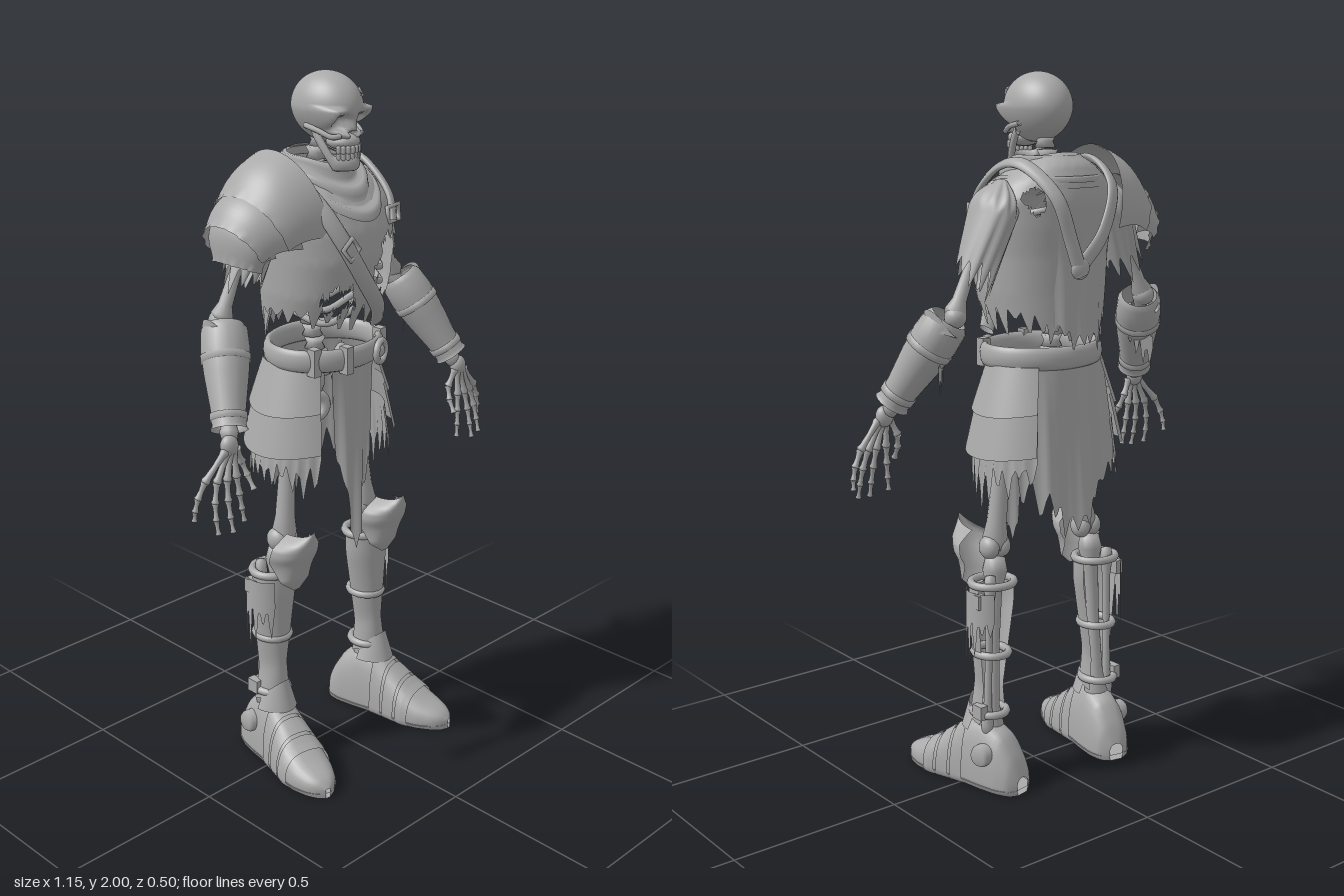
import * as THREE from 'three';
import { mergeVertices } from 'three/addons/utils/BufferGeometryUtils.js';

const V = (x, y, z) => new THREE.Vector3(x, y, z);
const { lerp, clamp } = THREE.MathUtils, { PI, sin, cos, abs, min, max, sign } = Math;
const hash = (n) => { const s = sin(n * 127.1 + 3.7) * 43758.5453; return s - Math.floor(s); };
// ragged hem: row of irregular triangular spikes along u
const jag = (u, n, seed = 0) => (0.25 + 0.75 * hash(Math.floor(u * n) + seed)) * (1 - abs(2 * (u * n - Math.floor(u * n)) - 1));
// interpolate rows of numbers keyed by their first entry
const rowAt = (rows, k) => {
  let i = 0;
  while (i < rows.length - 2 && k > rows[i + 1][0]) i++;
  const a = rows[i], b = rows[i + 1], t = clamp((k - a[0]) / (b[0] - a[0]), 0, 1);
  return a.map((n, j) => lerp(n, b[j], t));
};
// torso sections: height, half width, front z, back z
const TORSO = [[1.26, 0.15, 0.08, -0.19], [1.33, 0.17, 0.1, -0.19], [1.42, 0.185, 0.13, -0.19], [1.52, 0.19, 0.143, -0.195],
  [1.6, 0.195, 0.135, -0.205], [1.67, 0.195, 0.11, -0.21], [1.72, 0.165, 0.075, -0.2], [1.76, 0.12, 0.04, -0.18], [1.79, 0.075, 0.01, -0.14]];
// z of the torso surface at x, y on the front (+1) or back (-1)
const torsoZ = (x, y, side) => {
  const [, w, f, b] = rowAt(TORSO, y);
  return (f + b) / 2 + side * (f - b) / 2 * Math.sqrt(max(0, 1 - (x / w) ** 2));
};
// knee guard: fraction, half width, z; shin: height, half width, half depth; boot: z, half width, height
const KNEE = [[0, 0.012, 0.04], [0.18, 0.052, 0.06], [0.4, 0.06, 0.078], [0.65, 0.075, 0.098], [0.82, 0.07, 0.106], [0.92, 0.045, 0.11], [1, 0.02, 0.112]];
const SHIN = [[0.2, 0.05, 0.055], [0.3, 0.037, 0.05], [0.42, 0.052, 0.056], [0.54, 0.068, 0.06], [0.61, 0.066, 0.058]];
const BOOT = [[-0.175, 0.022, 0.05], [-0.16, 0.05, 0.1], [-0.12, 0.062, 0.165], [-0.06, 0.064, 0.2], [-0.005, 0.062, 0.19], [0.06, 0.068, 0.145],
  [0.12, 0.075, 0.105], [0.17, 0.068, 0.078], [0.21, 0.052, 0.062], [0.235, 0.034, 0.05], [0.25, 0.008, 0.03]];

export function createModel() {
  const root = new THREE.Group();
  const grey = new THREE.MeshStandardMaterial({ color: 0xaaaaaa, side: THREE.DoubleSide });
  grey.name = 'weathered grey';
  const add = (name, geo, p = V(0, 0, 0)) => {
    const m = new THREE.Mesh(geo, grey);
    m.name = name;
    m.position.copy(p);
    root.add(m);
    return m;
  };
  // surface from a rule, with optional torn holes
  const sheet = (name, nu, nv, fn, torn = () => false) => {
    const pos = [], idx = [];
    for (let j = 0; j <= nv; j++) for (let i = 0; i <= nu; i++) pos.push(...fn(i / nu, j / nv));
    for (let j = 0; j < nv; j++) for (let i = 0; i < nu; i++) {
      const a = j * (nu + 1) + i, b = a + nu + 1;
      if (!torn(pos[a * 3], pos[a * 3 + 1], pos[a * 3 + 2])) idx.push(a, b, a + 1, b, b + 1, a + 1);
    }
    let g = new THREE.BufferGeometry();
    g.setAttribute('position', new THREE.Float32BufferAttribute(pos, 3));
    g.setIndex(idx);
    g = mergeVertices(g, 1e-5);
    g.computeVertexNormals();
    return add(name, g);
  };
  // turned shape from a to b; profile rows are [radius, fraction]
  const limb = (name, a, b, prof, seg = 14) => {
    const L = a.distanceTo(b), m = add(name, new THREE.LatheGeometry(prof.map(([r, t]) => new THREE.Vector2(r, t * L)), seg), a);
    m.quaternion.setFromUnitVectors(V(0, 1, 0), b.clone().sub(a).normalize());
  };
  const bone = (name, a, b, r, k = 1.7) => limb(name, a, b, [[0, -0.03], [r * k * 0.8, -0.02], [r * k, 0.05], [r * 1.1, 0.16],
    [r * 0.9, 0.5], [r * 1.1, 0.84], [r * k, 0.95], [r * k * 0.8, 1.02], [0, 1.03]]);
  const ball = (name, p, x, y = x, z = x) => { const m = add(name, new THREE.SphereGeometry(1, 20, 14), p); m.scale.set(x, y, z); return m; };
  const tube = (name, pts, r, closed = false, n = 40) => add(name, new THREE.TubeGeometry(new THREE.CatmullRomCurve3(pts, closed), n, r, 8, closed));
  // flat belt along a path, lying against the body axis
  const strap = (name, pts, w, h, closed = false) => {
    const c = new THREE.CatmullRomCurve3(pts, closed), mid = V(0, 1.55, -0.05);
    sheet(name, 70, 12, (u, v) => {
      const p = c.getPoint(u), t = c.getTangent(u), n = p.clone().sub(mid), a = v * 2 * PI;
      if (closed) n.y = 0;
      n.addScaledVector(t, -n.dot(t)).normalize();
      return p.addScaledVector(t.cross(n), w * cos(a)).addScaledVector(n, h * sin(a)).toArray();
    });
  };
  const ring = (rx, rz, y, zc, x = 0) => Array.from({ length: 16 }, (_, i) => V(x + rx * sin(i * PI / 8), y, zc + rz * cos(i * PI / 8)));

  // skull: sphere with narrowed face, eye sockets and nose pressed in
  const sk = new THREE.SphereGeometry(1, 64, 48), sp = sk.attributes.position;
  for (let i = 0; i < sp.count; i++) {
    let x = sp.getX(i) * 0.083, y = sp.getY(i) * 0.094, z = sp.getZ(i) * 0.11;
    const dent = (cx, cy, r) => Math.exp(-(((abs(x) - cx) / r) ** 4 + ((y - cy) / r) ** 4));
    if (y < 0) x *= 1 + 0.2 * y / 0.094;
    if (z > 0) {
      if (y < 0.01) z = max(z, min(z * 1.5, 0.105));
      z -= 0.045 * dent(0.036, -0.034, 0.022) + 0.03 * dent(0, -0.066, 0.012);
    }
    sp.setXYZ(i, x, y, z);
  }
  sk.computeVertexNormals();
  add('skull', sk, V(0, 1.906, -0.02));
  ball('upper jaw', V(0, 1.823, 0.04), 0.046, 0.024, 0.046);
  // jaw: horseshoe plate rising to the hinges
  sheet('lower jaw', 32, 12, (u, v) => {
    const t = abs(u - 0.5) * 2, a = (u - 0.5) * PI, q = v * 2 * PI, k = 1 + 0.16 * cos(q);
    return [0.05 * k * sin(a) * (1 + 0.2 * t), 1.768 + 0.02 * sin(q) + 0.085 * max(0, t - 0.55) / 0.45, 0.012 + 0.068 * k * cos(a) - 0.02 * t];
  });
  for (let i = 0; i < 8; i++) for (const [y, r] of [[1.805, 0.042], [1.787, 0.04]])
    add('tooth', new THREE.CapsuleGeometry(0.0068, 0.01, 3, 8), V(r * sin((i - 3.5) * 0.31), y, 0.04 + r * cos((i - 3.5) * 0.31)));
  for (const s of [-1, 1])
    tube('cheekbone', [V(s * 0.035, 1.842, 0.066), V(s * 0.055, 1.84, 0.053), V(s * 0.07, 1.855, 0.015), V(s * 0.073, 1.864, -0.03)], 0.0075);
  tube('skull crack', [V(0.03, 1.945, 0.072), V(0.045, 1.94, 0.066), V(0.04, 1.955, 0.06), V(0.06, 1.95, 0.045)], 0.004);

  // spine and rib cage
  for (let i = 0; i < 19; i++) {
    const y = 1.15 + i * 0.036, z = -0.05 - 0.06 * sin((i / 18) * PI);
    limb('vertebra', V(0, y, z), V(0, y + 0.034, z), [[0, 0], [0.03, 0.05], [0.022, 0.5], [0.03, 0.95], [0, 1]], 12);
  }
  for (let i = 0; i < 7; i++) for (const s of [-1, 1]) {
    const y = 1.36 + i * 0.04, w = 0.155 - 0.003 * abs(i - 3) ** 2;
    tube('rib', [V(0, y + 0.04, -0.11), V(s * w * 0.7, y + 0.04, -0.15), V(s * w, y + 0.015, -0.04), V(s * w * 0.75, y - 0.015, 0.07),
      V(s * 0.02, y + 0.02, 0.105 - 0.004 * i)], 0.0095, false, 24);
  }
  ball('breastbone', V(0, 1.5, 0.1), 0.025, 0.13, 0.012);

  // torn tunic, back cape and draped cowl
  sheet('tunic', 130, 44, (u, v) => {
    const a = (u - 0.5) * 2 * PI, back = (1 - cos(a)) / 2, e = (n) => sign(n) * abs(n) ** 0.9;
    const y = lerp(1.79, lerp(1.39, 1.38, back) - 0.09 * jag(u, 26) - 0.03 * back ** 4, v), [, w, f, b] = rowAt(TORSO, y);
    return [w * e(sin(a)), y - 0.035 * (1 - back) * (1 - v) ** 3, (f + b) / 2 + (f - b) / 2 * e(cos(a))];
  }, (x, y, z) => {
    const n = 1 + 0.25 * sin(y * 90) + 0.2 * sin(x * 110), hole = (cx, cy, rx, ry) => ((x - cx) / rx) ** 2 + ((y - cy) / ry) ** 2 < n;
    return z > 0 ? hole(0.085, 1.46, 0.06, 0.11) || hole(-0.09, 1.42, 0.045, 0.035) : z < -0.1 && hole(0.13, 1.67, 0.03, 0.03);
  });
  sheet('back cape', 50, 20, (u, v) => {
    const x = lerp(-0.18, 0.11, u), y = lerp(1.7, 1.37 - 0.07 * sin(u * PI) - 0.11 * jag(u, 8, 2), v);
    return [x * (1 - 0.12 * v), y, torsoZ(x, max(y, 1.5), -1) - 0.005 + 0.004 * sin(x * 90) * v];
  });
  sheet('cowl', 60, 12, (u, v) => {
    const a = u * 2 * PI, f = max(0, cos(a)), fold = 0.006 * sin(v * 16);
    return [(lerp(0.078, 0.15, v) + fold) * sin(a), lerp(1.782, 1.715, v) + fold - f * f * lerp(0.02, 0.09, v), -0.055 + (lerp(0.088, 0.155, v) + 0.045 * f * v + fold) * cos(a)];
  });

  // shoulder belts and buckles
  const on = (x, y, s, o = 0.012) => V(x, y, torsoZ(x, y, s) + s * o);
  strap('chest belt', [V(0.02, 1.5, -0.235), V(-0.06, 1.58, -0.225), V(-0.12, 1.7, -0.19), V(-0.145, 1.765, -0.06), on(-0.13, 1.68, 1), on(-0.09, 1.58, 1),
    on(-0.02, 1.46, 1), on(0.05, 1.38, 1), on(0.13, 1.3, 1)], 0.023, 0.01);
  strap('shoulder belt', [on(0.115, 1.6, 1, 0.016), on(0.13, 1.67, 1, 0.016), V(0.135, 1.755, -0.03), V(0.13, 1.76, -0.12), V(0.1, 1.68, -0.22),
    V(0.06, 1.56, -0.235), V(0.03, 1.47, -0.24)], 0.02, 0.01);
  ball('back knob', V(0.03, 1.49, -0.235), 0.03, 0.03, 0.016);
  for (const [x, y, r] of [[-0.075, 1.56, 0.7], [0.12, 1.62, 0.1]])
    add('strap buckle', new THREE.TorusGeometry(0.03, 0.007, 8, 4), on(x, y, 1, 0.02)).rotation.z = r + PI / 4;

  // layered shoulder plates on the right: rows are x, top y, half depth, drop
  [[[-0.155, 1.805, 0.172, 0.2], [-0.285, 1.7, 0.14, 0.12]], [[-0.24, 1.72, 0.148, 0.14], [-0.345, 1.63, 0.105, 0.08]],
    [[-0.31, 1.65, 0.12, 0.09], [-0.33, 1.53, 0.085, 0.02]]].forEach(([p, q], k) => sheet('shoulder plate', 40, 10, (u, v) => {
    const a = (u - 0.5) * 3.3, c = 1 - cos(a), r = p.map((n, i) => lerp(n, q[i], v)), bulge = 0.012 * sin(v * PI);
    return [r[0] + c * 0.05 - bulge - (v > 0.95 ? 0.012 * jag(u, 9, k) : 0), r[1] + bulge - r[3] * c, -0.068 + r[2] * sin(a)];
  }));

  for (const s of [-1, 1]) {
    const P = (x, y, z) => V(s * x, y, z);
    // torn sleeve
    sheet('sleeve', 60, 26, (u, v) => {
      const a = u * 2 * PI, t = v * (0.85 + 0.4 * jag(u, 11, s * 5)), r = sin(min(1, v * 2.5 + 0.1) * PI / 2), k = 0.055 * r * cos(a);
      return [s * (0.165 + 0.1 * t + 0.93 * k), 1.72 - 0.25 * t + 0.37 * k, -0.075 + lerp(0.1, 0.055, v) * r * sin(a)];
    }, (x, y, z) => s > 0 && z > -0.06 && ((x - 0.215) / 0.03) ** 2 + ((y - 1.6) / 0.055) ** 2 < 1);
    // arm
    bone('collarbone', P(0.02, 1.7, 0.02), P(0.19, 1.7, -0.06), 0.011);
    ball('shoulder joint', P(0.215, 1.63, -0.08), 0.036);
    bone('upper arm', P(0.225, 1.62, -0.08), P(0.335, 1.375, -0.085), 0.018);
    ball('elbow', P(0.335, 1.372, -0.09), 0.03);
    bone('forearm bone', P(0.325, 1.38, -0.09), P(0.445, 1.11, 0.065), 0.015);
    const armAt = (t) => P(lerp(0.345, 0.44, t), lerp(1.355, 1.13, t), lerp(-0.06, 0.06, t));
    limb('bracer', armAt(0), armAt(1), [[0.05, -0.06], [0.062, 0], [0.066, 0.2], [0.06, 0.45], [0.047, 0.8], [0.045, 0.96], [0.05, 1]], 24);
    for (const [t, r] of [[0.26, 0.067], [0.84, 0.05]]) limb('bracer strap', armAt(t), armAt(t + 0.07), [[r - 0.01, 0], [r, 0], [r, 1], [r - 0.01, 1]], 24);
    sheet('elbow guard', 20, 6, (u, v) => {
      const a = (u - 0.5) * 3, r = lerp(0.066, 0.052, v);
      return [s * (0.345 + r * cos(a) * 0.9 + 0.01 * v), 1.32 + (v * 0.06 + 0.3 * r) * cos(a), -0.06 + r * sin(a)];
    });
    sheet('bracer rag', 14, 5, (u, v) => [s * (0.325 + 0.06 * u), 1.29 - 0.05 * u - v * (0.03 + 0.09 * jag(u, 4)), -0.03 - 0.05 * u]);
    // hand: fingertips outwards, thumb last
    ball('wrist', P(0.455, 1.095, 0.075), 0.026, 0.03, 0.022);
    [[0.43, 0.88, 0.1], [0.482, 0.868, 0.115], [0.525, 0.872, 0.105], [0.568, 0.91, 0.06], [0.402, 0.965, 0.11]].forEach(([x, y, z], i) => {
      const thumb = i === 4, cuts = thumb ? [0, 0.45, 0.75, 1] : [0, 0.42, 0.66, 0.85, 1];
      const c = new THREE.QuadraticBezierCurve3(P(0.455 + (thumb ? -0.02 : (i - 1) * 0.009), 1.085, 0.08),
        P(thumb ? 0.405 : 0.445 + i * 0.042, thumb ? 1.04 : 1.0, 0.09 - i * 0.008), P(x, y, z));
      for (let k = 1; k < cuts.length; k++) bone('finger bone', c.getPoint(cuts[k - 1]), c.getPoint(cuts[k]), 0.0098 - k * 0.001, 1.45);
    });
    // pelvis and thigh
    ball('hip bone', P(0.085, 1.15, -0.05), 0.075, 0.07, 0.03).rotation.y = s * 0.7;
    add('pelvis ring', new THREE.TorusGeometry(0.036, 0.015, 8, 20), P(0.055, 1.075, -0.02)).rotation.y = s * 0.5;
    ball('thigh joint', P(0.1, 1.115, -0.04), 0.036);
    bone('thigh bone', P(0.125, 1.12, -0.04), P(0.165, 0.7, -0.03), 0.026, 1.4);
    for (const d of [-1, 1]) ball('knee joint', P(0.168 + d * 0.02, 0.7, -0.035), 0.026, 0.034, 0.034);
    // hip plates with rags beneath
    for (const [name, y0, y1, r0, r1, rag] of [['hip plate', 1.22, 1.095, 0.175, 0.22, 0], ['hip plate', 1.12, 0.98, 0.205, 0.24, 0], ['hip rag', 1.05, 0.96, 0.205, 0.222, 0.15]])
      sheet(name, 36, 6, (u, v) => {
        const a = lerp(-0.9, 0.92, u), r = lerp(r0, r1, v);
        return [s * r * cos(a), lerp(y0, y1, v) - v * rag * jag(u, 11, s * 7) - 0.012 * v * cos(a * 2), -0.05 + r * 0.8 * sin(a)];
      });
    // knee guard
    sheet('knee guard', 24, 16, (u, v) => {
      const [, w, z] = rowAt(KNEE, v), a = (u - 0.5) * PI;
      return [s * (0.183 + w * sin(a)), 0.565 + 0.205 * v - 0.03 * v * abs(sin(a)), z - 0.09 * (1 - cos(a)) * min(1, v * 2)];
    });
    // shin bones, greave and bindings
    bone('shin bone', P(0.175, 0.66, -0.045), P(0.2, 0.16, -0.055), 0.02, 1.8);
    bone('outer shin bone', P(0.215, 0.62, -0.075), P(0.225, 0.17, -0.07), 0.011);
    sheet('greave', 28, 18, (u, v) => {
      const a = (u - 0.5) * 3.9, top = 0.585 + 0.06 * abs(u - 0.5), [, w, d] = rowAt(SHIN, lerp(0.2, top, v));
      return [s * (lerp(0.205, 0.19, v) + w * sin(a)), lerp(0.2 + 0.02 * cos(a), top, v), -0.05 + d * cos(a)];
    });
    for (const [y, w, d, x] of [[0.605, 0.062, 0.057, 0.19], [0.4, 0.046, 0.052, 0.196], [0.225, 0.046, 0.052, 0.204]])
      tube('shin strap', ring(w, d, y, -0.052, s * x), 0.012, true);
    for (const [x, y] of [[0.255, 0.565], [0.25, 0.235]]) add('strap buckle', new THREE.BoxGeometry(0.025, 0.04, 0.04), P(x, y, -0.07));
    sheet('trouser rag', 26, 6, (u, v) => {
      const a = lerp(0.6, 2.6, u);
      return [s * (0.195 + 0.073 * sin(a)), 0.59 - v * (0.08 + 0.19 * jag(u, 6, s)), -0.055 + 0.073 * cos(a)];
    });
    // boot with sole, overlapping bands, ankle disc and ankle guard
    const boot = (name, z0, z1, k, top) => {
      const m = sheet(name, 28, 34, (u, v) => {
        const z = lerp(z0, z1, v), [, w, h] = rowAt(BOOT, z), c = cos(u * 2 * PI), q = sin(u * 2 * PI);
        return [k * w * sign(c) * abs(c) ** 0.75, min(top, q > 0 ? 0.025 + (k * h - 0.025) * q ** 0.9 : 0.025 * (1 - min(1, -q * 2))), z];
      });
      m.position.x = s * 0.213;
      m.rotation.y = s * 0.2;
    };
    boot('boot', -0.175, 0.25, 1, 1);
    boot('boot sole', -0.175, 0.25, 1.04, 0.016);
    for (const z of [0.0, 0.05, 0.1]) boot('boot band', z, z + 0.042, 1.07, 1);
    limb('ankle disc', P(0.245, 0.11, -0.085), P(0.278, 0.11, -0.09), [[0.032, 0], [0.032, 0.7], [0.025, 1], [0, 1]], 20);
    sheet('ankle guard', 20, 5, (u, v) => {
      const a = (u - 0.5) * 3, r = lerp(0.075, 0.052, v);
      return [s * (0.208 + r * 0.85 * sin(a)), 0.175 + 0.09 * v * (0.4 + 0.6 * cos(a)), -0.045 + r * 1.1 * cos(a)];
    });
  }
  // waist belt with round buckle
  strap('waist belt', ring(0.168, 0.14, 1.24, -0.035), 0.032, 0.014, true);
  add('belt buckle', new THREE.TorusGeometry(0.03, 0.01, 10, 24), V(0.082, 1.235, 0.108)).rotation.y = 0.35;
  ball('buckle stud', V(0.082, 1.235, 0.104), 0.018, 0.018, 0.012);
  for (const x of [-0.13, 0.14, -0.05]) add('belt loop', new THREE.BoxGeometry(0.026, 0.078, 0.03), V(x, 1.24, -0.03 + 0.142 * Math.sqrt(1 - (x / 0.168) ** 2)));
  // front and back hanging cloths: half widths, lengths, z and curve
  for (const [name, w0, w1, len, mid, rag, z0, z1, bend] of [['front cloth', 0.082, 0.068, 0.19, 0.37, 0.05, 0.098, 0.098, -0.02],
    ['back cloth', 0.155, 0.175, 0.24, 0.2, 0.13, -0.175, -0.2, 0.06]]) sheet(name, 44, 14, (u, v) => {
    const x = (u - 0.5) * 2, drop = len + mid * (1 - abs(x)) ** 0.8 + rag * jag(u, 9, 4);
    return [x * lerp(w0, w1, v), 1.225 - v * drop, lerp(z0, z1, v) + bend * x * x + 0.008 * sin(x * 9) * v];
  });
  return root;
}
